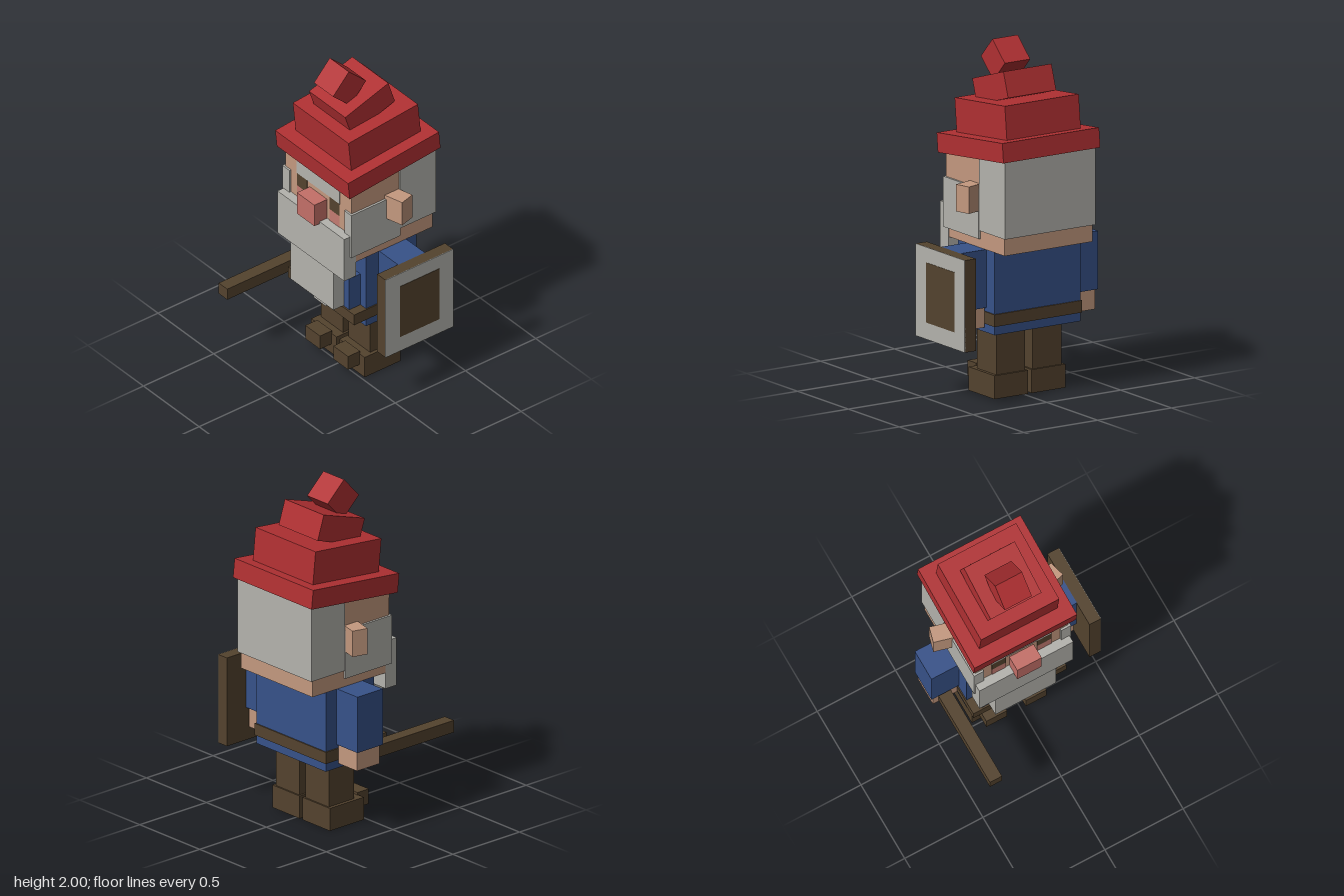
import * as THREE from 'three';

export function createModel() {
  const model = new THREE.Group();
  model.name = 'gnome';

  const paint = (name, color) => {
    const m = new THREE.MeshStandardMaterial({ color });
    m.name = name;
    return m;
  };
  const red = paint('hatRed', 0xb03032);
  const grey = paint('hairGrey', 0xb4b3ad);
  const skin = paint('skin', 0xc4997f);
  const blue = paint('tunicBlue', 0x375289);
  const brown = paint('leatherBrown', 0x54432e);
  const pink = paint('nosePink', 0xc47068);
  const blush = paint('cheekBlush', 0xc47c72);

  // Box given by its limits on each axis
  const box = (name, mat, [x0, x1], [y0, y1], [z0, z1]) => {
    const mesh = new THREE.Mesh(new THREE.BoxGeometry(x1 - x0, y1 - y0, z1 - z0), mat);
    mesh.position.set((x0 + x1) / 2, (y0 + y1) / 2, (z0 + z1) / 2);
    mesh.name = name;
    model.add(mesh);
    return mesh;
  };

  // The body is symmetric about x = CX; pair() gives distances out from it
  const CX = -0.04;
  const mid = (half) => [CX - half, CX + half];
  const pair = (name, mat, [a, b], y, z) => {
    box(name + 'Left', mat, [CX + a, CX + b], y, z);
    box(name + 'Right', mat, [CX - b, CX - a], y, z);
  };

  // Legs and boots
  pair('leg', brown, [0.025, 0.22], [0.13, 0.4], [-0.265, -0.075]);
  pair('boot', brown, [0.012, 0.24], [0, 0.135], [-0.275, -0.02]);
  pair('bootToe', brown, [0.06, 0.192], [0.06, 0.15], [-0.025, 0.06]);

  // Torso, belly and belt
  box('torso', blue, mid(0.29), [0.39, 0.88], [-0.35, 0.01]);
  box('belly', blue, mid(0.24), [0.45, 0.72], [0, 0.09]);
  box('belt', brown, mid(0.297), [0.44, 0.51], [-0.357, 0.1]);
  box('buckle', grey, mid(0.056), [0.44, 0.52], [0.09, 0.11]);

  // Arms and hands
  pair('arm', blue, [0.28, 0.465], [0.533, 0.868], [-0.27, -0.08]);
  pair('hand', skin, [0.297, 0.45], [0.418, 0.54], [-0.26, -0.09]);

  // Stick in the right hand
  box('stick', brown, [-0.455, -0.378], [0.438, 0.51], [-0.2, 0.5]);

  // Shield on the left arm
  box('shield', brown, [0.423, 0.495], [0.338, 0.868], [-0.415, 0.067]);
  box('shieldFace', grey, [0.494, 0.498], [0.338, 0.868], [-0.415, 0.067]);
  box('shieldPanel', brown, [0.496, 0.5], [0.435, 0.78], [-0.315, -0.035]);

  // Head, back hair and sideburns
  box('head', skin, mid(0.297), [0.868, 1.41], [-0.457, 0.118]);
  box('backHair', grey, mid(0.307), [0.968, 1.42], [-0.475, -0.22]);
  pair('sideburn', grey, [0.247, 0.31], [0.92, 1.21], [-0.221, 0.13]);

  // Beard in two steps
  box('beardUpper', grey, mid(0.3), [0.775, 1.06], [0.09, 0.173]);
  box('beardLower', grey, mid(0.193), [0.515, 0.78], [0.089, 0.165]);

  // Face
  const plate = [0.117, 0.121];
  box('brow', grey, mid(0.194), [1.22, 1.312], plate);
  pair('templeHair', grey, [0.194, 0.296], [1.312, 1.36], plate);
  pair('eye', brown, [0.1, 0.19], [1.137, 1.22], plate);
  pair('cheek', blush, [0.1, 0.19], [1.05, 1.137], plate);
  box('nose', pink, mid(0.078), [1.045, 1.188], [0.11, 0.21]);

  // Ears, swept back
  for (const s of [1, -1]) {
    const ear = box(s > 0 ? 'earLeft' : 'earRight', skin, [0, 0.17], [1.08, 1.235], [0, 0.095]);
    ear.position.set(CX + s * 0.32, 1.157, -0.173);
    ear.rotation.y = s * 0.26;
  }

  // Hat: tilted blocks [name, width, height, depth, y, z, tilt]
  for (const [name, w, h, d, y, z, tilt] of [
    ['hatBrim', 0.655, 0.113, 0.65, 1.434, -0.162, 0.106],
    ['hatMiddle', 0.5, 0.21, 0.497, 1.58, -0.155, 0.102],
    ['hatUpper', 0.325, 0.15, 0.323, 1.746, -0.12, 0.316],
    ['hatTip', 0.172, 0.165, 0.168, 1.882, -0.035, -0.75],
  ]) {
    const block = box(name, red, mid(w / 2), [y - h / 2, y + h / 2], [z - d / 2, z + d / 2]);
    block.rotation.x = tilt;
  }

  return model;
}
